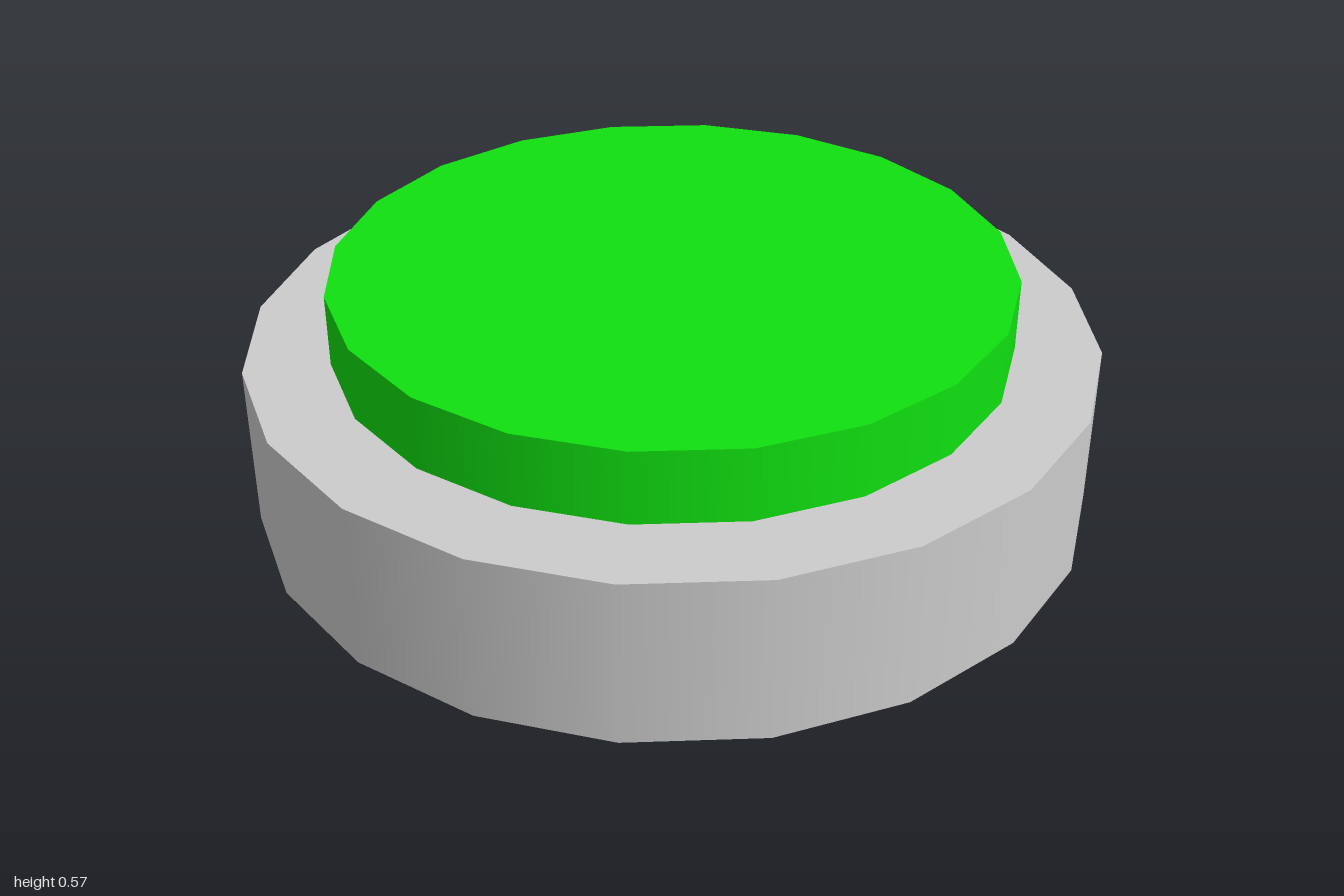
import * as THREE from 'three';

const SIDES = 20;

// Upright disc between two heights, smooth-shaded around its side
function disc(name, radius, bottom, top, color) {
  const geometry = new THREE.CylinderGeometry(radius, radius, top - bottom, SIDES);
  const mesh = new THREE.Mesh(geometry, new THREE.MeshStandardMaterial({ color }));
  mesh.name = name;
  mesh.position.y = (bottom + top) / 2;
  return mesh;
}

export function createModel() {
  const model = new THREE.Group();
  model.name = 'pushButton';

  // Housing, and the button cap seated slightly into it
  model.add(disc('base', 1, 0, 0.4, 0xcccccc));
  model.add(disc('buttonCap', 0.8, 0.38, 0.575, 0x10e010));

  return model;
}
